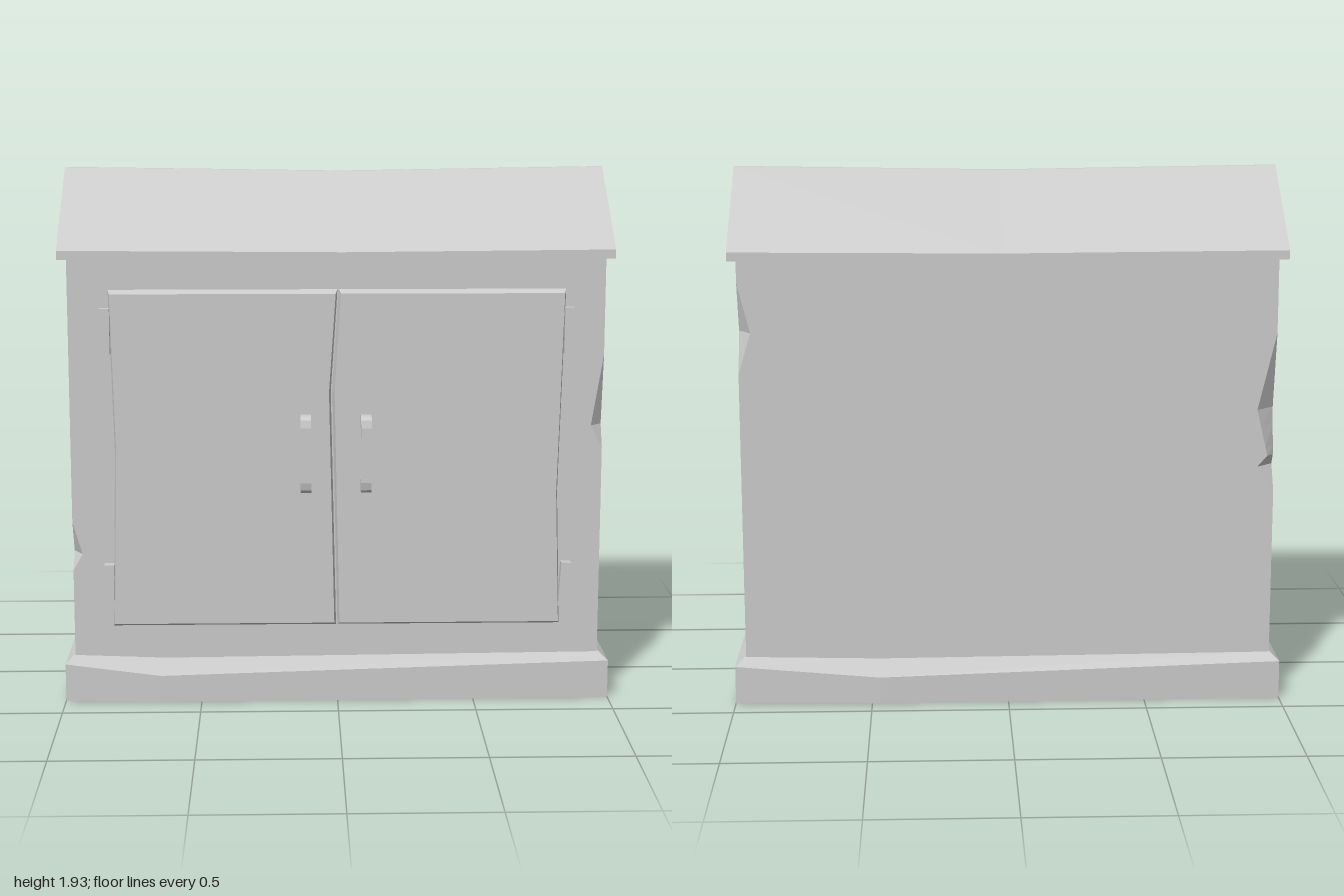
import * as THREE from 'three';

const material = new THREE.MeshStandardMaterial({ color: 0xcccccc, flatShading: true });

// Flat-faced solid through matching rings, each counter-clockwise seen from the far end
function loft(rings) {
  const pos = [];
  const tri = (a, b, c) => {
    const [A, B, C] = [a, b, c].map((p) => new THREE.Vector3(...p));
    if (B.sub(A).cross(C.sub(A)).length() > 1e-7) pos.push(...a, ...b, ...c);
  };
  const n = rings[0].length;
  for (let i = 0; i + 1 < rings.length; i++) {
    for (let j = 0; j < n; j++) {
      const k = (j + 1) % n, r = rings[i], s = rings[i + 1];
      tri(r[j], r[k], s[k]);
      tri(r[j], s[k], s[j]);
    }
  }
  const first = rings[0], last = rings[rings.length - 1];
  for (let j = 1; j + 1 < n; j++) {
    tri(first[0], first[j + 1], first[j]);
    tri(last[0], last[j], last[j + 1]);
  }
  const g = new THREE.BufferGeometry();
  g.setAttribute('position', new THREE.Float32BufferAttribute(pos, 3));
  g.computeVertexNormals();
  return g;
}

// Linear lookup in a list of [y, dx, dz] rising in y; zero outside
function chipAt(chip, y) {
  for (let i = 0; i + 1 < chip.length; i++) {
    const [a, b] = [chip[i], chip[i + 1]];
    if (y >= a[0] && y <= b[0]) {
      const t = (y - a[0]) / (b[0] - a[0]);
      return [1, 2].map((k) => a[k] + (b[k] - a[k]) * t);
    }
  }
  return [0, 0];
}

// Cabinet walls with a chip broken out of each upright corner
function bodyGeometry() {
  const L = -0.965, R = 0.962, F = 0.335, B = -0.37;
  const frontLeft = [[0.49, 0, 0], [0.55, 0.035, 0.06], [0.67, 0, 0]];
  const frontRight = [[0.94, 0, 0], [1.02, 0.042, 0.042], [1.28, 0, 0]];
  const backRight = [[1.22, 0, 0], [1.37, 0.045, 0.065], [1.55, 0, 0]];
  const backLeft = [[0.78, 0, 0], [0.87, 0.06, 0.055], [0.91, 0.025, 0.03], [1.08, 0.065, 0.06], [1.36, 0, 0]];
  const chips = [frontLeft, frontRight, backRight, backLeft];
  const ys = [0.05, 1.64, ...chips.flat().map((c) => c[0])].sort((a, b) => a - b);
  return loft(ys.map((y) => {
    const [fl, fr, br, bl] = chips.map((c) => chipAt(c, y));
    return [
      [L, y, F - fl[1]], [L + fl[0], y, F], [R - fr[0], y, F], [R, y, F - fr[1]],
      [R, y, B + br[1]], [R - br[0], y, B], [L + bl[0], y, B], [L, y, B + bl[1]],
    ];
  }));
}

// Plinth with a worn, sloping rim and slightly bowed long sides
function baseGeometry() {
  const outer = (frontY, y, backY) => [
    [-1, y, 0.362], [-0.65, frontY, 0.383], [1, y, 0.362],
    [1, y, -0.4], [0.47, backY, -0.42], [-1, y, -0.4],
  ];
  const inner = [
    [-0.967, 0.17, 0.333], [-0.63, 0.155, 0.335], [0.965, 0.17, 0.333],
    [0.965, 0.17, -0.368], [0.47, 0.157, -0.37], [-0.967, 0.17, -0.368],
  ];
  return loft([outer(0, 0, 0), outer(0.1, 0.14, 0.1), inner]);
}

// Gabled roof, sagging in the middle
function roofGeometry() {
  return loft([[-0.997, 0], [0.02, 0.015], [0.992, 0]].map(([x, sag]) => [
    [x, 1.63 - sag / 3, 0.36], [x, 1.63 - sag / 3, -0.4], [x, 1.662 - sag / 2, -0.4],
    [x, 1.933 - sag, -0.035], [x, 1.933 - sag, -0.012], [x, 1.662 - sag / 2, 0.36],
  ]));
}

// Bevelled door with bent upright edges, given as [bottom x, bend x, bend y, top x]
function doorGeometry(left, right) {
  const ring = (z, side, end) => [
    [left[1] + side, left[2], z], [left[0] + side, 0.28 + end, z], [right[0] - side, 0.28 + end, z],
    [right[1] - side, right[2], z], [right[3] - side, 1.52 - end, z], [left[3] + side, 1.52 - end, z],
  ];
  return loft([ring(0.325, 0, 0), ring(0.335, 0, 0), ring(0.364, 0.007, 0.013)]);
}

// Bracket-shaped pull, drawn in depth and height and given its width along x
function handleGeometry() {
  const s = new THREE.Shape([
    [0.355, 0.79], [0.405, 0.79], [0.418, 0.802], [0.425, 0.83], [0.425, 1.03], [0.418, 1.058],
    [0.405, 1.07], [0.355, 1.07], [0.355, 1.022], [0.398, 1.022], [0.398, 0.838], [0.355, 0.838],
  ].map((p) => new THREE.Vector2(...p)));
  return new THREE.ExtrudeGeometry(s, { depth: 0.038, bevelEnabled: false })
    .rotateY(-Math.PI / 2).scale(1, 1, 1).translate(0.019, 0, 0);
}

export function createModel() {
  const model = new THREE.Group();
  const add = (name, geometry, x = 0, y = 0, z = 0) => {
    const mesh = new THREE.Mesh(geometry, material);
    mesh.name = name;
    mesh.position.set(x, y, z);
    model.add(mesh);
    return mesh;
  };

  add('base', baseGeometry());
  add('body', bodyGeometry());
  add('roof', roofGeometry());

  add('rightDoor', doorGeometry([-0.822, -0.805, 0.93, -0.82], [-0.005, -0.024, 1.15, 0]));
  add('leftDoor', doorGeometry([0.0, -0.018, 1.15, 0.005], [0.818, 0.802, 0.78, 0.82]));

  // Handles
  add('rightHandle', handleGeometry(), -0.115);
  add('leftHandle', handleGeometry(), 0.102);

  // Hinges, one slightly loose
  for (const side of [-1, 1]) {
    for (const y of [0.433, 1.373]) {
      const hinge = add(side < 0 ? 'rightHinge' : 'leftHinge',
        new THREE.BoxGeometry(0.036, 0.165, 0.045), side * 0.832, y, 0.346);
      if (side > 0 && y < 1) hinge.rotation.z = -0.06;
    }
  }
  return model;
}
